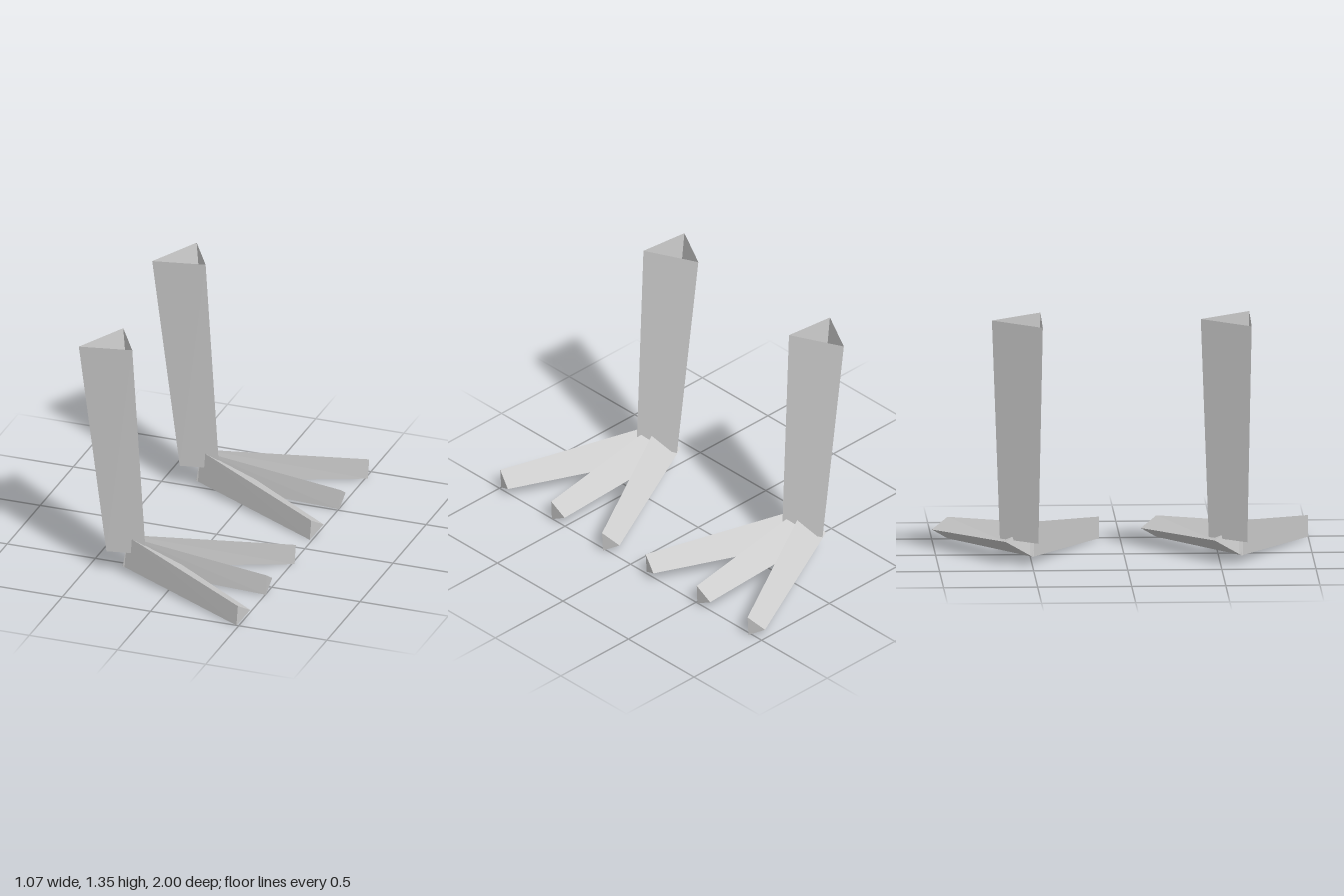
import * as THREE from 'three';

const grey = new THREE.MeshStandardMaterial({ color: 0xcccccc, side: THREE.DoubleSide });
grey.name = 'grey';

// Tapered three-sided prism between two triangles; the far end may stay open
function prism(name, start, end, capEnd = true) {
  const pos = [];
  const tri = (a, b, c) => pos.push(...a, ...b, ...c);
  for (let i = 0; i < 3; i++) {
    const j = (i + 1) % 3;
    tri(end[j], end[i], start[i]);
    tri(end[j], start[i], start[j]);
  }
  tri(start[2], start[1], start[0]);
  if (capEnd) tri(end[0], end[1], end[2]);
  const geo = new THREE.BufferGeometry();
  geo.setAttribute('position', new THREE.Float32BufferAttribute(pos, 3));
  geo.computeVertexNormals();
  const mesh = new THREE.Mesh(geo, grey);
  mesh.name = name;
  return mesh;
}

function makeLeg(name) {
  const leg = new THREE.Group();
  leg.name = name;

  // Hollow shin, open at the top
  leg.add(prism('shin',
    [[-0.385, 0.13, 0.64], [-0.163, 0.15, 0.637], [-0.27, 0.14, 0.44]],
    [[-0.535, 1.32, 0.657], [-0.232, 1.35, 0.657], [-0.382, 1.335, 0.393]], false));

  // Three spread toes: each triangle is top, bottom, inner corner
  leg.add(prism('middleToe',
    [[-0.27, 0.227, 0.622], [-0.30, 0.045, 0.62], [-0.28, 0.13, 0.46]],
    [[0.508, 0.12, 0.597], [0.503, 0.005, 0.597], [0.503, 0.06, 0.50]]));
  leg.add(prism('innerToe',
    [[-0.27, 0.227, 0.60], [-0.295, 0.045, 0.612], [-0.325, 0.13, 0.47]],
    [[0.522, 0.12, 0.195], [0.515, 0.005, 0.195], [0.475, 0.06, 0.11]]));
  leg.add(prism('outerToe',
    [[-0.25, 0.227, 0.635], [-0.305, 0.045, 0.612], [-0.21, 0.13, 0.465]],
    [[0.495, 0.12, 1.0], [0.487, 0.005, 1.0], [0.53, 0.06, 0.905]]));
  return leg;
}

export function createModel() {
  const model = new THREE.Group();
  model.name = 'birdLegs';
  const near = makeLeg('frontLeg');
  const far = makeLeg('backLeg');
  far.position.z = -1.11;
  model.add(near, far);
  return model;
}
